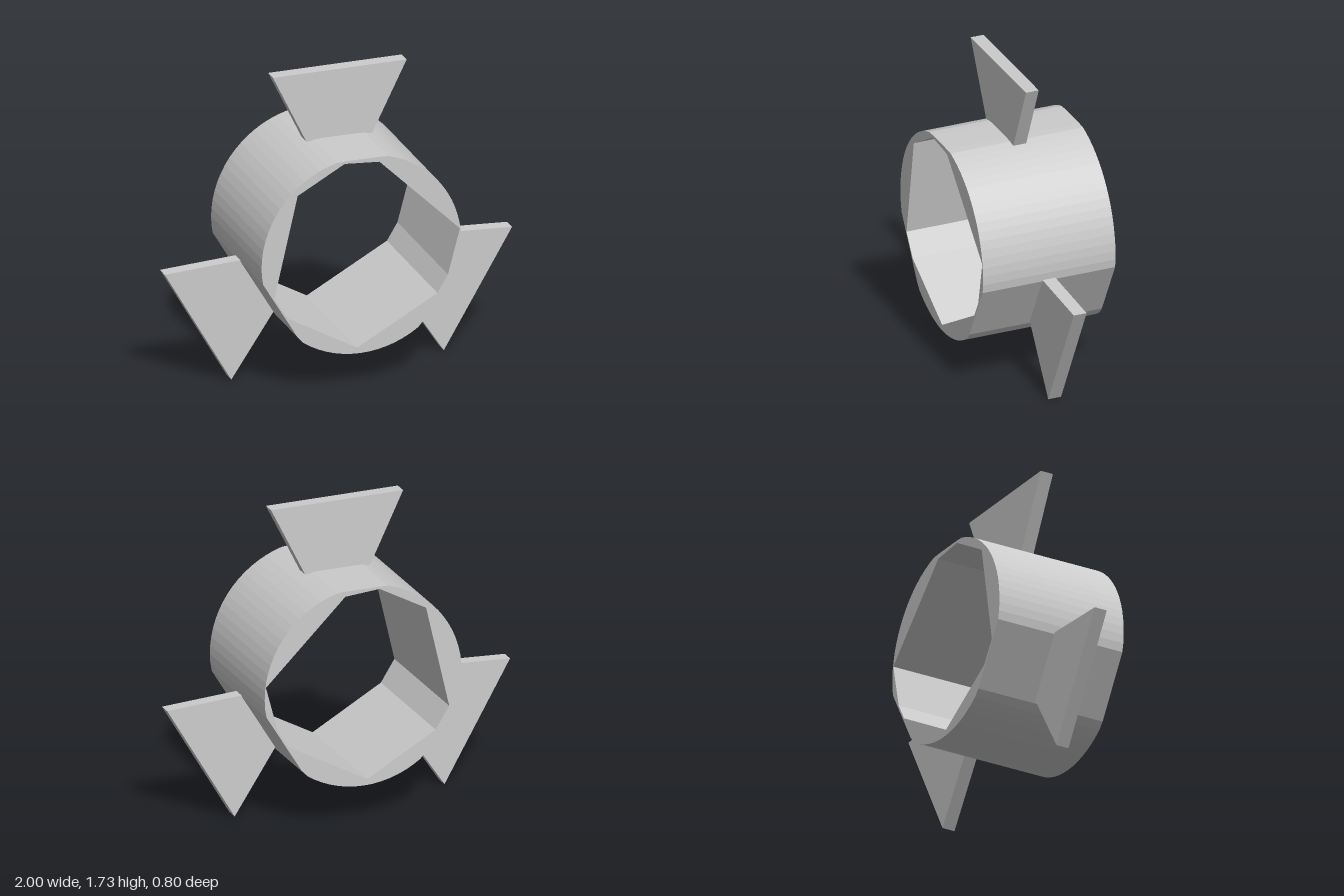
import * as THREE from 'three';

const CENTRE_Y = 0.786;
const material = new THREE.MeshStandardMaterial({ color: 0xcccccc, flatShading: true });

// Extrudes an outline along z, centred on z = 0
function plate(name, shape, depth) {
  const geometry = new THREE.ExtrudeGeometry(shape, { depth, bevelEnabled: false });
  geometry.translate(0, -CENTRE_Y, -depth / 2);
  const mesh = new THREE.Mesh(geometry, material);
  mesh.name = name;
  return mesh;
}

const outline = (points) => points.map(([x, y]) => new THREE.Vector2(x, y));

// Circle flattened where each fin is seated
function ringOutline() {
  const radius = 0.575;
  const flats = [[Math.PI / 2, 0.558], [-0.541, 0.535], [Math.PI + 0.541, 0.535]];
  const points = [];
  const segments = 72;
  for (let i = 0; i < segments; i++) {
    const a = (i / segments) * Math.PI * 2;
    let r = radius;
    for (const [angle, distance] of flats) {
      const c = Math.cos(a - angle);
      if (c > 0.8) r = Math.min(r, distance / c);
    }
    points.push([r * Math.cos(a), CENTRE_Y + r * Math.sin(a)]);
  }
  return points;
}

export function createModel() {
  const group = new THREE.Group();
  group.name = 'finnedRing';

  // Round body with a coarse, many-sided bore
  const body = new THREE.Shape(outline(ringOutline()));
  body.holes.push(new THREE.Path(outline([
    [0.1, 1.315], [-0.1, 1.33], [-0.37, 1.18], [-0.5, 0.595], [-0.42, 0.47],
    [-0.02, 0.245], [0.44, 0.5], [0.5, 0.6], [0.567, 0.86],
  ])));
  group.add(plate('ring', body, 0.775));

  // Flared fins: one on top, a mirrored pair below
  const finDepth = 0.075;
  group.add(plate('topFin', new THREE.Shape(outline([
    [-0.19, 1.335], [0.19, 1.335], [0.385, 1.735], [-0.385, 1.735],
  ])), finDepth));
  for (const [name, s] of [['leftFin', 1], ['rightFin', -1]]) {
    group.add(plate(name, new THREE.Shape(outline([
      [s * 0.56, 0.695], [s * 0.37, 0.37], [s * 0.612, 0.003], [s * 1, 0.67],
    ])), finDepth));
  }

  // Whole piece leans very slightly forward
  group.position.y = CENTRE_Y;
  group.rotation.x = 0.02;
  const model = new THREE.Group();
  model.add(group);
  return model;
}
